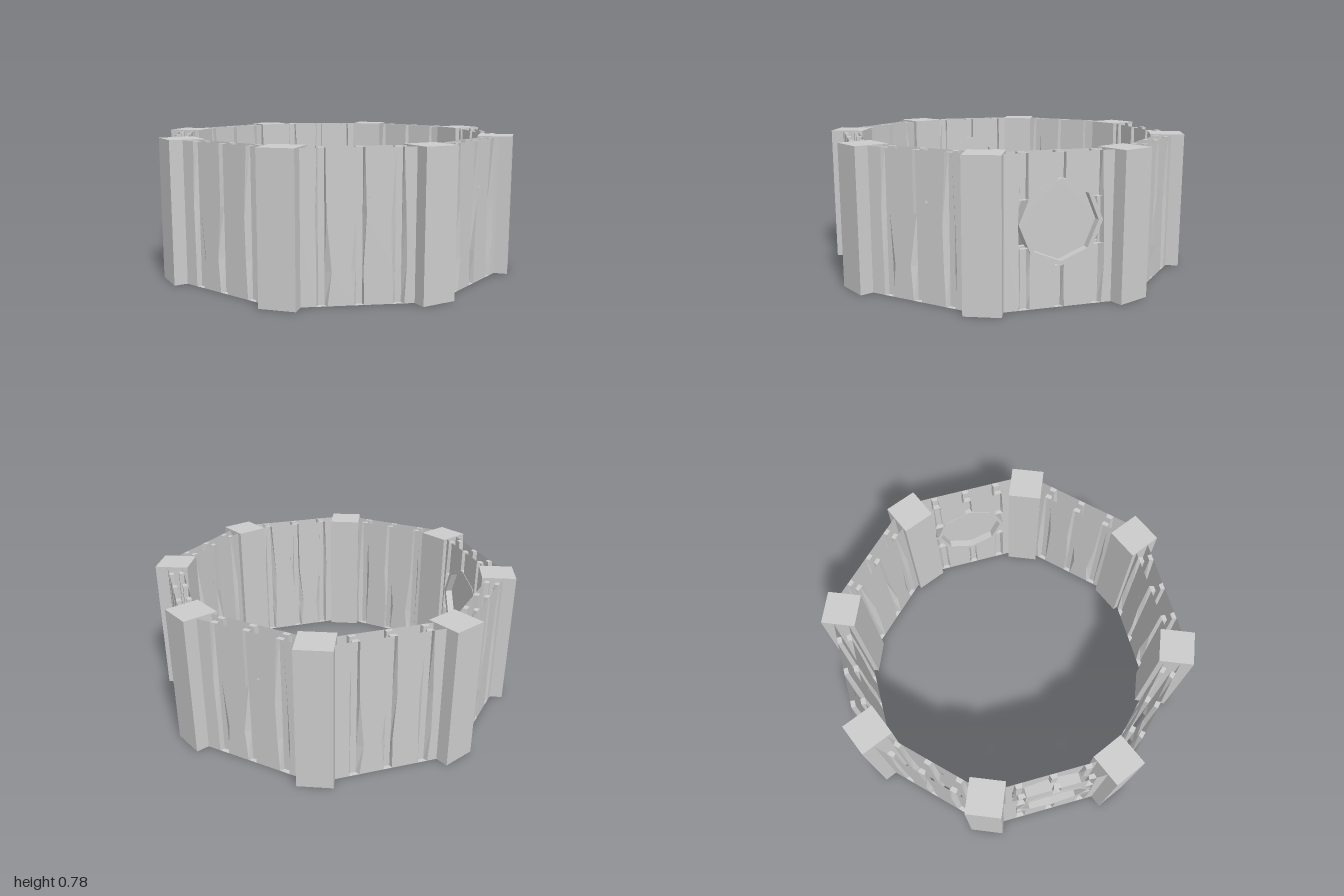
import * as THREE from 'three';
import { mergeGeometries } from 'three/addons/utils/BufferGeometryUtils.js';

const H = 0.775;            // wall height
const OUTER = 0.93, INNER = 0.85, END = 0.36;
const CX = 0.01, CY = 0.43, R = 0.215; // round window
const mat = new THREE.MeshStandardMaterial({ color: 0xcccccc, flatShading: true, side: THREE.DoubleSide });

// Gaps between planks: rows of [y, left edge, right edge]
const gaps = [
  [[0, -0.205, -0.15], [0.17, -0.205, -0.13], [0.45, -0.21, -0.155], [H, -0.2, -0.16]],
  [[0, -0.02, 0.03], [0.18, -0.035, 0.025], [0.45, -0.01, 0.04], [H, -0.01, 0.03]],
  [[0, 0.175, 0.23], [0.2, 0.165, 0.24], [0.42, 0.16, 0.235], [H, 0.18, 0.22]],
];

function mesh(geo, name) {
  const m = new THREE.Mesh(geo, mat);
  m.name = name;
  return m;
}

function polygon(points) {
  return new THREE.Shape(points.map(p => new THREE.Vector2(p[0], p[1])));
}

// Gap row at any height
function rowAt(gap, y) {
  let i = 0;
  while (i < gap.length - 2 && gap[i + 1][0] < y) i++;
  const a = gap[i], b = gap[i + 1], t = (y - a[0]) / (b[0] - a[0]);
  return [y, a[1] + (b[1] - a[1]) * t, a[2] + (b[2] - a[2]) * t];
}

// Part of a gap between two heights
function cutGap(gap, y0, y1) {
  return [rowAt(gap, y0), ...gap.filter(r => r[0] > y0 && r[0] < y1), rowAt(gap, y1)];
}

// Recessed batten lofted behind a gap, capped at both ends
function battenGeometry(rows) {
  const pos = [], idx = [];
  const c = (rows[0][1] + rows[0][2] + rows.at(-1)[1] + rows.at(-1)[2]) / 4;
  rows.forEach(([y, l, r]) => pos.push(l, y, 0, c - 0.016, y, -0.025, c + 0.016, y, -0.025, r, y, 0));
  for (let i = 0; i < rows.length - 1; i++)
    for (let j = 0; j < 3; j++) {
      const a = i * 4 + j, b = a + 4;
      idx.push(a, a + 1, b + 1, a, b + 1, b);
    }
  const t = (rows.length - 1) * 4;
  idx.push(0, 2, 1, 0, 3, 2, t, t + 1, t + 2, t, t + 2, t + 3);
  const g = new THREE.BufferGeometry();
  g.setAttribute('position', new THREE.Float32BufferAttribute(pos, 3));
  g.setIndex(idx);
  g.computeVertexNormals();
  return g;
}

// Plank between the right side of one gap and the left side of the next
function plankShape(i) {
  const left = i ? gaps[i - 1].map(r => [r[2], r[0]]) : [[-END, 0], [-END, H]];
  const right = i < 3 ? gaps[i].map(r => [r[1], r[0]]) : [[END, 0], [END, H]];
  return polygon([...left.reverse(), ...right]);
}

// Half-height of the octagonal window at distance u from its centre
function windowHalf(u) {
  const k = R * Math.SQRT1_2;
  return u < k ? R - u * (R - k) / k : Math.max(0, k * (R - u) / (R - k));
}

// One plank face: flat planks with battens in the gaps
function plankFace(hasWindow) {
  const face = new THREE.Group();
  const shapes = [plankShape(0), plankShape(3)];
  const battens = [];
  if (hasWindow) {
    // Short planks above and below the window
    for (const s of [-1, 1]) {
      const y0 = s > 0 ? H : 0;
      for (const i of [0, 1]) {
        const x0 = rowAt(gaps[i], y0)[2], x1 = rowAt(gaps[i + 1], y0)[1];
        const corner = CX + (i ? 1 : -1) * R * Math.SQRT1_2;
        const edge = [x0, corner, x1].sort((a, b) => a - b)
          .map(x => [x, CY + s * windowHalf(Math.abs(x - CX))]);
        shapes.push(polygon([[x0, y0], ...edge, [x1, y0]]));
      }
    }
    gaps.forEach((g, i) => {
      const half = i === 1 ? R : 0.12;
      battens.push(battenGeometry(cutGap(g, 0, CY - half)), battenGeometry(cutGap(g, CY + half, H)));
    });
  } else {
    const notched = plankShape(2);
    notched.holes.push(new THREE.Path([[0.045, 0.54], [0.055, 0.515], [0.085, 0.52]].map(p => new THREE.Vector2(...p))));
    shapes.push(plankShape(1), notched);
    gaps.forEach(g => battens.push(battenGeometry(g)));
  }
  face.add(mesh(new THREE.ShapeGeometry(shapes), 'planks'));
  face.add(mesh(mergeGeometries(battens), 'battens'));
  return face;
}

// Octagonal frame through the wall with a recessed pane
function roundWindow() {
  const g = new THREE.Group();
  const octagon = r => Array.from({ length: 8 }, (_, i) => [r * Math.cos(i * Math.PI / 4), r * Math.sin(i * Math.PI / 4)]);
  const ring = polygon(octagon(R + 0.003));
  ring.holes.push(polygon(octagon(R - 0.02)));
  const depth = OUTER - INNER + 0.006;
  const frame = new THREE.ExtrudeGeometry(ring, { depth, bevelEnabled: false });
  frame.translate(0, 0, -depth / 2);
  g.add(mesh(frame, 'windowFrame'));
  g.add(mesh(new THREE.ShapeGeometry(polygon(octagon(R - 0.015))), 'windowPane'));
  g.position.set(CX, CY, (OUTER + INNER) / 2);
  return g;
}

function wall(hasWindow) {
  const g = new THREE.Group();
  const outer = plankFace(hasWindow);
  outer.name = 'outerFace';
  outer.position.z = OUTER;
  const inner = plankFace(hasWindow);
  inner.name = 'innerFace';
  inner.scale.z = -1;
  inner.position.z = INNER;
  g.add(outer, inner);
  if (hasWindow) g.add(roundWindow());
  return g;
}

export function createModel() {
  const model = new THREE.Group();
  model.name = 'palisadeRing';
  for (let i = 0; i < 8; i++) {
    // Walls, with round windows on the left and right sides
    const w = wall(i === 2 || i === 6);
    w.name = 'wall';
    w.rotation.y = i * Math.PI / 4;
    model.add(w);
    // Square corner post facing outward
    const a = (i + 0.5) * Math.PI / 4;
    const post = mesh(new THREE.BoxGeometry(0.19, H + 0.004, 0.19), 'cornerPost');
    post.position.set(0.945 * Math.sin(a), (H + 0.004) / 2, 0.945 * Math.cos(a));
    post.rotation.y = a;
    model.add(post);
  }
  return model;
}
